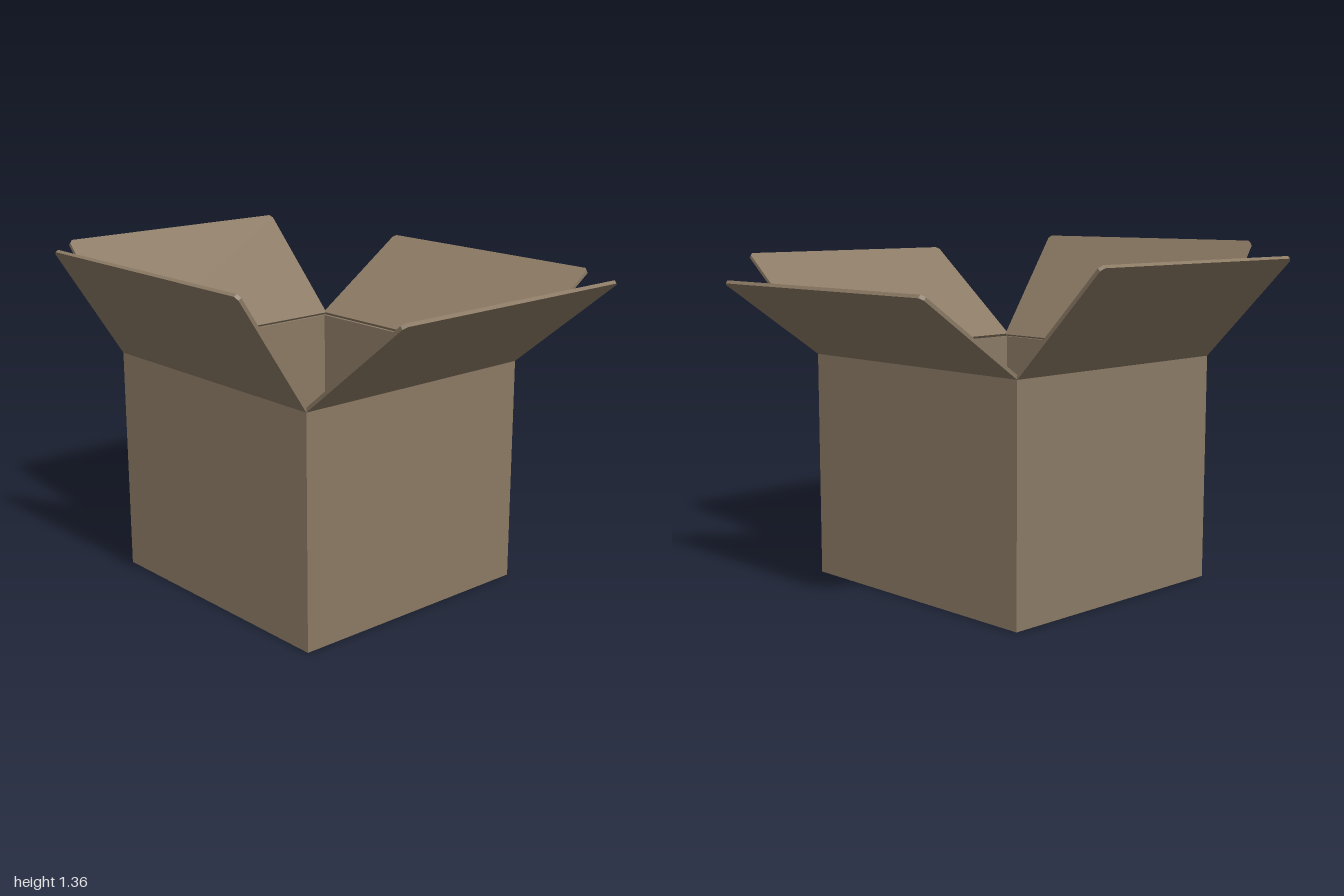
import * as THREE from 'three';

const T = 0.014;                       // card thickness
const X0 = -0.615, X1 = 0.521;         // box extents
const Z0 = -0.464, Z1 = 0.612;
const H = 0.907;

const cardboard = new THREE.MeshStandardMaterial({ color: 0x8c7b65 });
cardboard.name = 'cardboard';

function addMesh(group, name, geometry) {
  const mesh = new THREE.Mesh(geometry, cardboard);
  mesh.name = name;
  group.add(mesh);
  return mesh;
}

// Flap hinged on a rim edge: a panel with clipped outer corners.
// start and tip are the ends of its outer face, at the middle of the edge.
function addFlap(group, name, width, start, tip) {
  const out = tip.clone().sub(start);
  const length = out.length();
  out.normalize();
  const w = width / 2, c = 0.014;
  const shape = new THREE.Shape([
    [-w, 0], [w, 0], [w, length - c], [w - c, length], [-w + c, length], [-w, length - c],
  ].map(([x, y]) => new THREE.Vector2(x, y)));
  const geometry = new THREE.ExtrudeGeometry(shape, { depth: T, bevelEnabled: false });

  // The panel thickens towards the inside of the box
  const outward = new THREE.Vector3(out.x, 0, out.z).normalize();
  const side = new THREE.Vector3().crossVectors(outward, new THREE.Vector3(0, 1, 0)).negate();
  const normal = new THREE.Vector3().crossVectors(side, out);
  if (normal.y < 0) {
    side.negate();
    normal.negate();
  }
  geometry.applyMatrix4(new THREE.Matrix4().makeBasis(side, out, normal).setPosition(start));
  addMesh(group, name, geometry);
}

export function createModel() {
  const box = new THREE.Group();
  box.name = 'openBox';
  const cx = (X0 + X1) / 2, cz = (Z0 + Z1) / 2;
  const w = X1 - X0, d = Z1 - Z0;

  // Bottom panel
  addMesh(box, 'bottom', new THREE.BoxGeometry(w, T, d)).position.set(cx, T / 2, cz);

  // Four walls standing on the bottom panel
  const h = H - T, y = T + h / 2;
  for (const [name, z] of [['frontWall', Z1 - T / 2], ['backWall', Z0 + T / 2]]) {
    addMesh(box, name, new THREE.BoxGeometry(w, h, T)).position.set(cx, y, z);
  }
  for (const [name, x] of [['leftWall', X1 - T / 2], ['rightWall', X0 + T / 2]]) {
    addMesh(box, name, new THREE.BoxGeometry(T, h, d - 2 * T)).position.set(x, y, cz);
  }

  // Four open flaps, each at its own angle
  const v = (a, b, c) => new THREE.Vector3(a, b, c);
  addFlap(box, 'leftFlap', d, v(X1, H, cz), v(0.998, 1.288, cz));
  addFlap(box, 'rightFlap', d, v(X0, H, cz), v(-1, 1.305, cz));
  addFlap(box, 'frontFlap', w, v(cx, H, Z1), v(cx, 1.35, 0.902));
  addFlap(box, 'backFlap', w, v(cx, H, Z0), v(cx, 1.21, -0.902));
  return box;
}
